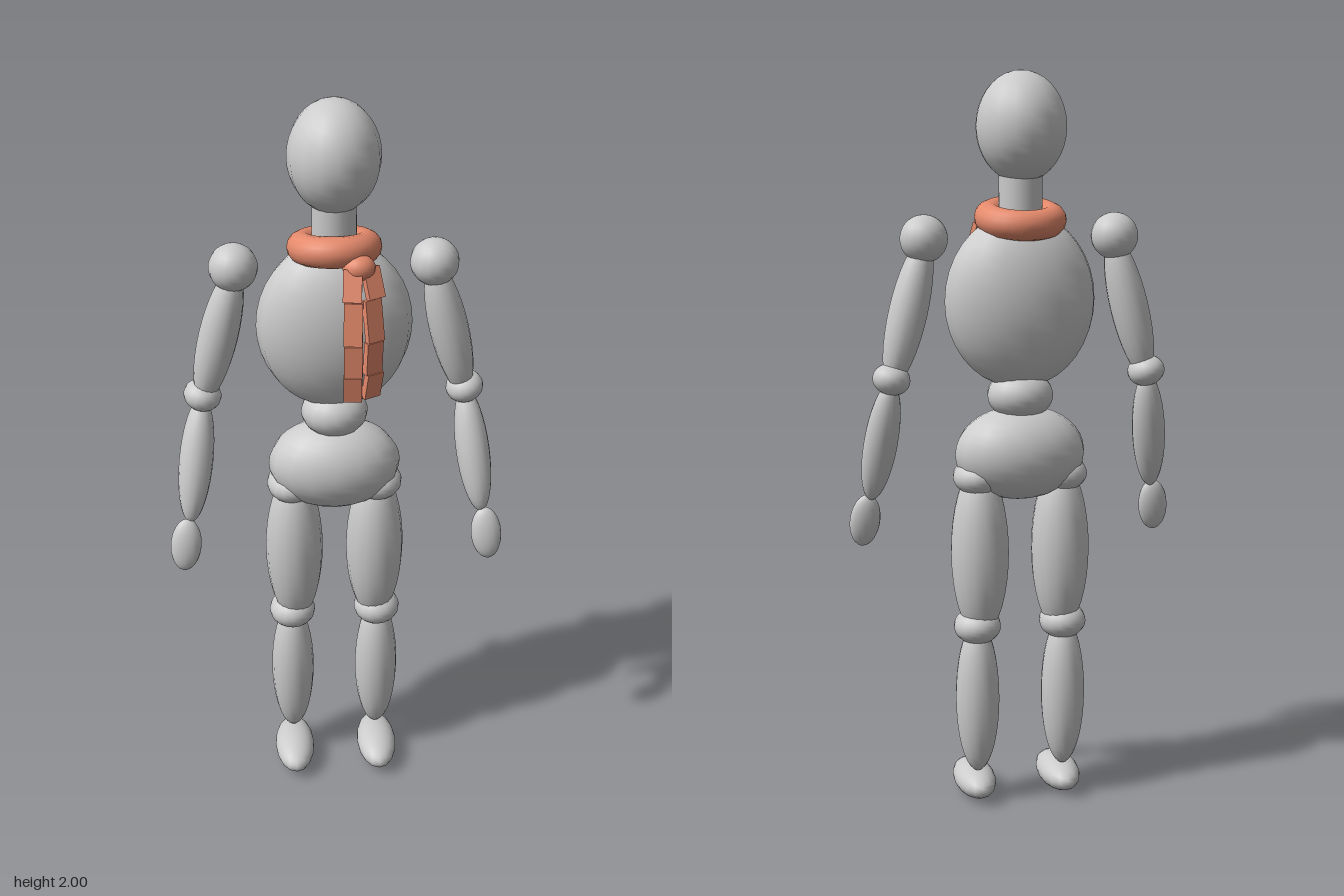
import * as THREE from 'three';

const UP = new THREE.Vector3(0, 1, 0);
const grey = new THREE.MeshStandardMaterial({ color: 0xcccccc });
const coral = new THREE.MeshStandardMaterial({ color: 0xe58a6c });

// Smooth ellipsoid, its own y axis turned towards dir
function ellipsoid(name, pos, radii, dir = [0, 1, 0], material = grey) {
  const mesh = new THREE.Mesh(new THREE.SphereGeometry(1, 16, 18), material);
  mesh.name = name;
  mesh.position.set(...pos);
  mesh.scale.set(...radii);
  mesh.quaternion.setFromUnitVectors(UP, new THREE.Vector3(...dir).normalize());
  return mesh;
}

// Arm and leg for one side; s is +1 for the left, -1 for the right
function limbs(s) {
  const arm = new THREE.Group();
  arm.name = s > 0 ? 'leftArm' : 'rightArm';
  const upper = [-s * 0.092, 0.367, 0.01];
  const lower = [-s * 0.045, 0.33, -0.095];
  arm.add(
    ellipsoid('shoulder', [s * 0.26, 1.567, -0.023], [0.064, 0.063, 0.064]),
    ellipsoid('upperArm', [s * 0.304, 1.375, -0.023], [0.052, 0.2, 0.053], upper),
    ellipsoid('elbow', [s * 0.352, 1.2, -0.03], [0.051, 0.042, 0.054], upper),
    ellipsoid('forearm', [s * 0.376, 1.025, 0.012], [0.046, 0.175, 0.045], lower),
    ellipsoid('hand', [s * 0.413, 0.797, 0.077], [0.042, 0.075, 0.026], [-s * 0.1, 1, -0.18])
  );
  const leg = new THREE.Group();
  leg.name = s > 0 ? 'leftLeg' : 'rightLeg';
  leg.add(
    ellipsoid('hip', [s * 0.118, 0.925, -0.02], [0.068, 0.05, 0.077]),
    ellipsoid('thigh', [s * 0.113, 0.715, -0.02], [0.08, 0.24, 0.081]),
    ellipsoid('knee', [s * 0.121, 0.505, -0.02], [0.065, 0.05, 0.068]),
    ellipsoid('shin', [s * 0.122, 0.3, -0.023], [0.061, 0.215, 0.062]),
    ellipsoid('foot', [s * 0.122, 0.045, 0.026], [0.057, 0.045, 0.119])
  );
  return [arm, leg];
}

// Scarf tail: a chain of flat boxes hung through [distance outwards, y] points
function scarfTail(name, x, z, yaw, points) {
  const tail = new THREE.Group();
  tail.name = name;
  tail.position.set(x, 0, z);
  for (let i = 0; i < points.length - 1; i++) {
    const [z0, y0] = points[i], [z1, y1] = points[i + 1];
    const box = new THREE.Mesh(
      new THREE.BoxGeometry(0.048, Math.hypot(z1 - z0, y1 - y0), 0.018), coral);
    box.name = 'tailSegment' + (i + 1);
    box.position.set(0, (y0 + y1) / 2, (z0 + z1) / 2);
    box.rotation.set(Math.atan2(z0 - z1, y0 - y1), yaw, 0, 'YXZ');
    tail.add(box);
  }
  return tail;
}

export function createModel() {
  const model = new THREE.Group();
  model.name = 'mannequin';

  // Head and trunk
  const neck = new THREE.Mesh(new THREE.CylinderGeometry(0.058, 0.058, 0.18, 20), grey);
  neck.name = 'neck';
  neck.position.set(0, 1.65, -0.022);
  model.add(
    ellipsoid('head', [0, 1.855, -0.03], [0.12, 0.145, 0.132]),
    neck,
    ellipsoid('chest', [0, 1.4, -0.022], [0.206, 0.235, 0.122]),
    ellipsoid('waist', [0, 1.145, -0.02], [0.09, 0.068, 0.086]),
    ellipsoid('pelvis', [0, 0.987, -0.02], [0.18, 0.128, 0.122])
  );

  // Arms and legs
  for (const s of [1, -1]) model.add(...limbs(s));

  // Scarf: tilted ring, knot and two hanging tails
  const scarf = new THREE.Group();
  scarf.name = 'scarf';
  const ring = new THREE.Mesh(new THREE.TorusGeometry(0.083, 0.04, 14, 32), coral);
  ring.name = 'scarfRing';
  ring.position.set(0, 1.617, -0.022);
  ring.rotation.x = Math.PI / 2 - 0.19;
  scarf.add(
    ring,
    ellipsoid('scarfKnot', [0.055, 1.598, 0.078], [0.042, 0.034, 0.036], [0, 1, 0], coral),
    scarfTail('innerTail', 0.036, 0, -0.12,
      [[0.095, 1.6], [0.13, 1.525], [0.149, 1.415], [0.144, 1.325], [0.128, 1.25]]),
    scarfTail('outerTail', 0.089, 0, 0.5,
      [[0.078, 1.6], [0.108, 1.525], [0.126, 1.415], [0.121, 1.325], [0.105, 1.25]])
  );
  model.add(scarf);
  return model;
}
